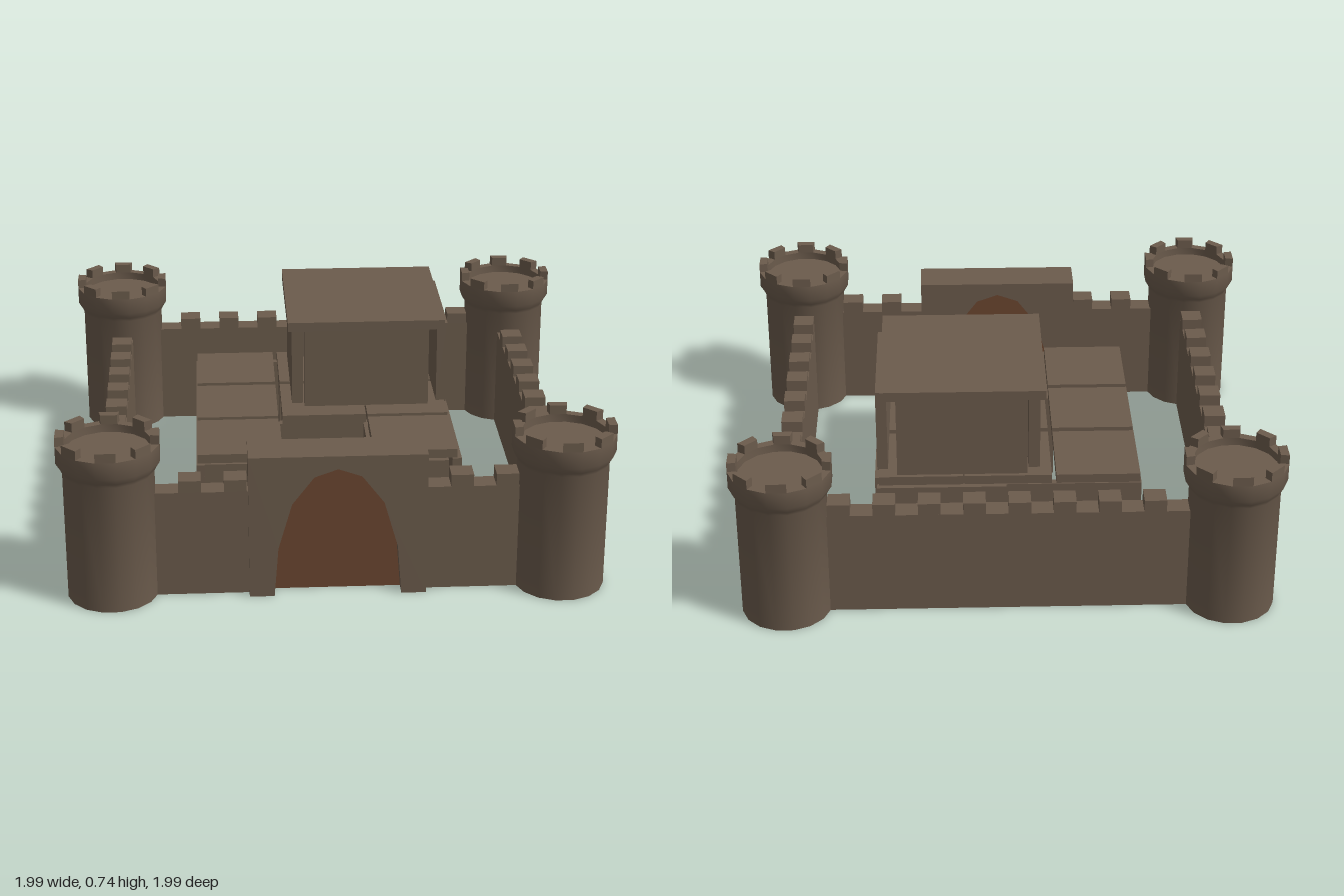
import * as THREE from 'three';
import { toCreasedNormals } from 'three/addons/utils/BufferGeometryUtils.js';

const stone = new THREE.MeshStandardMaterial({ color: 0x6b5b4c });
stone.name = 'stone';
const wood = new THREE.MeshStandardMaterial({ color: 0x6b4630 });
wood.name = 'wood';

// Box given by its extents on each axis
function box(parent, name, [x0, x1], [y0, y1], [z0, z1]) {
  const mesh = new THREE.Mesh(new THREE.BoxGeometry(x1 - x0, y1 - y0, z1 - z0), stone);
  mesh.position.set((x0 + x1) / 2, (y0 + y1) / 2, (z0 + z1) / 2);
  mesh.name = name;
  parent.add(mesh);
}

function extrude(points, depth) {
  const shape = new THREE.Shape(points.map(([x, y]) => new THREE.Vector2(x, y)));
  return new THREE.ExtrudeGeometry(shape, { depth, bevelEnabled: false });
}

// Round tower: flared shaft, sunken floor and a ring of eight merlons
function makeTower(x, z) {
  const tower = new THREE.Group();
  tower.name = 'tower';
  const profile = [[0, 0], [0.165, 0], [0.165, 0.49], [0.172, 0.505], [0.187, 0.53], [0.187, 0.595],
    [0.155, 0.595], [0.155, 0.565], [0, 0.565]].map(([r, y]) => new THREE.Vector2(r, y));
  const start = Math.PI / 16;
  const shaft = new THREE.Mesh(toCreasedNormals(new THREE.LatheGeometry(profile, 16, start), 0.7), stone);
  shaft.name = 'towerShaft';
  tower.add(shaft);
  const at = (r, a) => [r * Math.cos(a), r * Math.sin(a)];
  const h = Math.PI / 16;
  const merlon = extrude([at(0.155, -h), at(0.187, -h), at(0.187, h), at(0.155, h)], 0.035);
  merlon.rotateX(-Math.PI / 2);
  for (let i = 0; i < 8; i++) {
    const mesh = new THREE.Mesh(merlon, stone);
    mesh.name = 'towerMerlon';
    mesh.position.y = 0.595;
    mesh.rotation.y = i * Math.PI / 4;
    tower.add(mesh);
  }
  tower.position.set(x, 0, z);
  return tower;
}

// Curtain walls on all four sides with evenly spaced merlons
function makeCurtainWalls() {
  const walls = new THREE.Group();
  walls.name = 'curtainWalls';
  for (const s of [-1, 1]) {
    const across = [s * 0.81 - 0.04, s * 0.81 + 0.04];
    box(walls, 'sideWall', across, [0, 0.405], [-0.7, 0.7]);
    if (s < 0) box(walls, 'backWall', [-0.7, 0.7], [0, 0.405], across);
    else {
      box(walls, 'frontWall', [-0.7, -0.3], [0, 0.405], across);
      box(walls, 'frontWall', [0.3, 0.7], [0, 0.405], across);
    }
    for (let i = 0; i < 8; i++) {
      const c = 0.61 - 0.1625 * i;
      const along = [c - 0.0405, c + 0.0405];
      box(walls, 'sideMerlon', across, [0.405, 0.45], along);
      if (s < 0 || Math.abs(c) > 0.32) box(walls, 'endMerlon', along, [0.405, 0.45], across);
    }
  }
  return walls;
}

// Gatehouse with an arched passage closed by a wooden door
function makeGatehouse() {
  const gate = new THREE.Group();
  gate.name = 'gatehouse';
  const arch = [[-0.23, 0], [-0.215, 0.19], [-0.165, 0.365], [-0.085, 0.47], [0, 0.5],
    [0.085, 0.47], [0.165, 0.365], [0.215, 0.19], [0.23, 0]];
  const block = new THREE.Mesh(
    extrude([[-0.32, 0], ...arch, [0.32, 0], [0.32, 0.55], [-0.32, 0.55]], 0.16), stone);
  block.name = 'gateBlock';
  block.position.z = 0.725;
  const door = new THREE.Mesh(extrude(arch, 0.04), wood);
  door.name = 'gateDoor';
  door.position.z = 0.785;
  gate.add(block, door);
  return gate;
}

// U-shaped ground floor: thin walls under a grid of roof slabs
function makeHall() {
  const hall = new THREE.Group();
  hall.name = 'hall';
  const xs = [[-0.5, -0.187], [-0.17, 0.155], [0.16, 0.473]];
  const zs = [[-0.545, -0.222], [-0.195, 0.125], [0.15, 0.473]];
  xs.forEach((x, i) => zs.forEach((z, j) => {
    if (i !== 1 || j !== 2) box(hall, 'hallRoofSlab', x, [0.345, 0.38], z);
  }));
  const y = [0, 0.345];
  box(hall, 'leftOuterWall', [-0.505, -0.475], y, [-0.55, 0.49]);
  box(hall, 'rightOuterWall', [0.455, 0.49], y, [-0.49, 0.48]);
  box(hall, 'backWall', [-0.505, 0], y, [-0.55, -0.52]);
  box(hall, 'backWall', [0, 0.48], y, [-0.565, -0.535]);
  box(hall, 'wingInnerWall', [-0.21, -0.18], y, [0.1, 0.505]);
  box(hall, 'wingInnerWall', [0.145, 0.17], y, [0.1, 0.475]);
  box(hall, 'wingFrontWall', [-0.475, -0.22], y, [0.455, 0.485]);
  box(hall, 'wingFrontWall', [0.2, 0.44], y, [0.465, 0.495]);
  box(hall, 'courtyardWall', [-0.18, 0.145], y, [0.09, 0.125]);
  for (const z of [-0.36, -0.2, -0.03]) box(hall, 'hallPartition', [-0.17, 0.33], y, [z - 0.02, z + 0.02]);
  return hall;
}

// Upper keep: four separate wall panels and an overhanging flat roof
function makeKeep() {
  const keep = new THREE.Group();
  keep.name = 'keep';
  const y = [0.375, 0.705];
  box(keep, 'keepFrontWall', [-0.08, 0.405], y, [0, 0.035]);
  box(keep, 'keepBackWall', [-0.08, 0.405], y, [-0.53, -0.487]);
  box(keep, 'keepLeftWall', [-0.128, -0.085], y, [-0.485, 0]);
  box(keep, 'keepRightWall', [0.44, 0.48], y, [-0.485, 0]);
  box(keep, 'keepRoof', [-0.145, 0.462], [0.705, 0.742], [-0.555, 0.067]);
  return keep;
}

export function createModel() {
  const model = new THREE.Group();
  model.name = 'castle';
  for (const x of [-0.813, 0.813]) for (const z of [-0.813, 0.813]) model.add(makeTower(x, z));
  model.add(makeCurtainWalls(), makeGatehouse(), makeHall(), makeKeep());
  return model;
}
